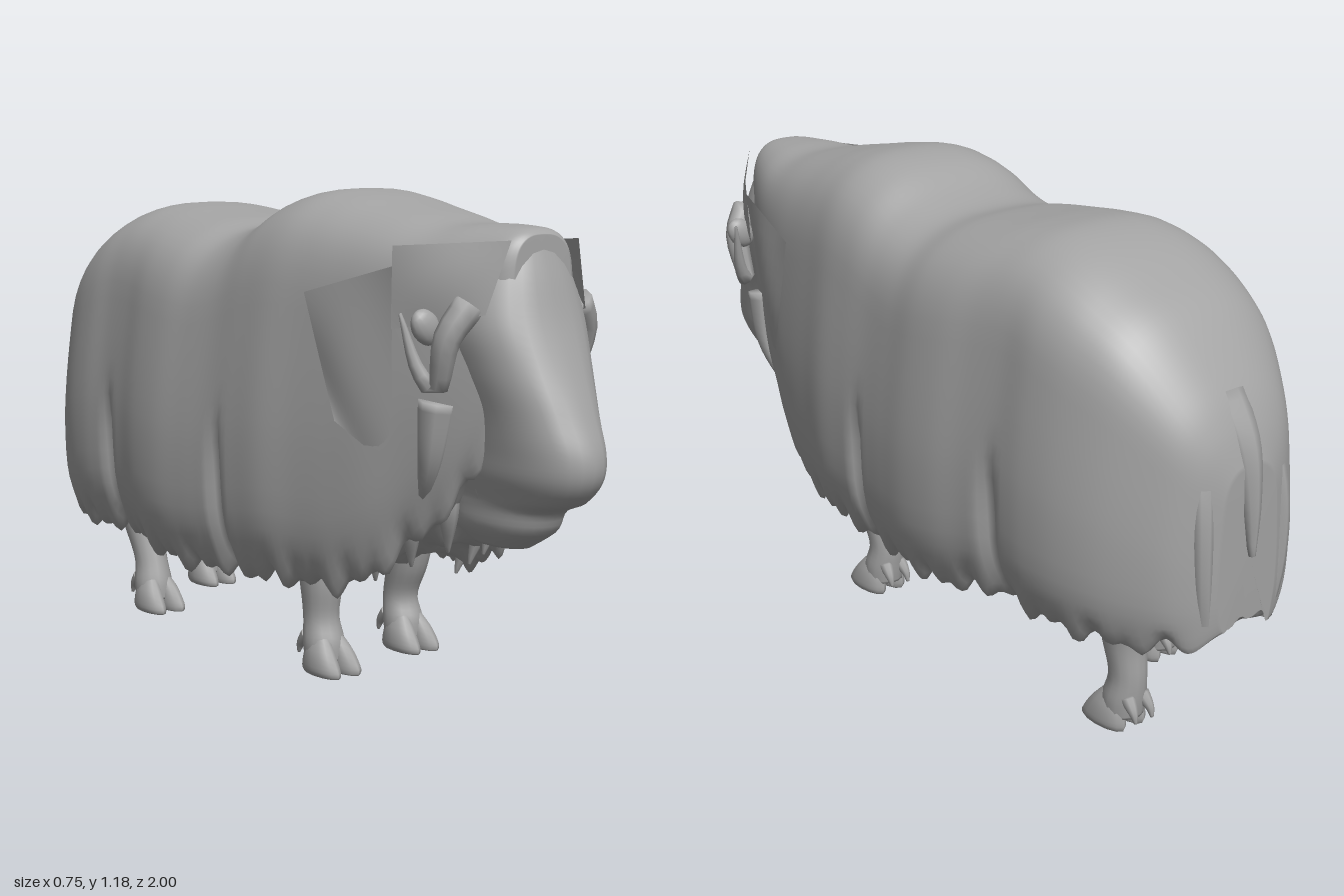
import * as THREE from 'three';

const coat = new THREE.MeshStandardMaterial({ color: 0xa3a3a3, side: THREE.DoubleSide });
coat.name = 'grey coat';

// Smoothly resample a table of numeric rows
function resample(rows, n) {
  const out = [];
  for (let i = 0; i <= n; i++) {
    const t = (i / n) * (rows.length - 1);
    const k = Math.min(Math.floor(t), rows.length - 2), f = t - k;
    const at = j => rows[Math.max(0, Math.min(rows.length - 1, j))];
    out.push(rows[k].map((b, c) => {
      const a = at(k - 1)[c], d = at(k + 1)[c], e = at(k + 2)[c];
      return b + 0.5 * f * (d - a + f * (2 * a - 5 * b + 4 * d - e + f * (3 * (b - d) + e - a)));
    }));
  }
  return out;
}

// Closed skin over rings of [x, y, z] points, capped at both ends
function loft(rings) {
  const n = rings[0].length, pos = rings.flat(2), idx = [];
  for (let i = 0; i < rings.length - 1; i++) {
    for (let j = 0; j < n; j++) {
      const a = i * n + j, b = i * n + (j + 1) % n;
      idx.push(a, b, a + n, b, b + n, a + n);
    }
  }
  [0, rings.length - 1].forEach((r, end) => {
    const c = pos.length / 3, o = r * n;
    for (let k = 0; k < 3; k++) pos.push(rings[r].reduce((s, p) => s + p[k], 0) / n);
    for (let j = 0; j < n; j++) {
      const a = o + j, b = o + (j + 1) % n;
      end ? idx.push(a, b, c) : idx.push(b, a, c);
    }
  });
  // Turn the faces outward using the signed volume
  const P = i => new THREE.Vector3().fromArray(pos, i * 3);
  let vol = 0;
  for (let i = 0; i < idx.length; i += 3) vol += P(idx[i]).dot(P(idx[i + 1]).cross(P(idx[i + 2])));
  if (vol < 0) idx.reverse();
  const g = new THREE.BufferGeometry();
  g.setAttribute('position', new THREE.Float32BufferAttribute(pos, 3));
  g.setIndex(idx);
  g.computeVertexNormals();
  return g;
}

// Horizontal oval rings from rows of [y, x, z, radiusX, radiusZ]
function column(rows, steps, sides = 14, power = 1) {
  return loft(resample(rows, steps).map(([y, x, z, rx, rz]) =>
    Array.from({ length: sides }, (_, j) => {
      const a = (j / sides) * Math.PI * 2, c = Math.cos(a), s = Math.sin(a);
      return [x + Math.sign(c) * Math.abs(c) ** power * rx, y, z + Math.sign(s) * Math.abs(s) ** power * rz];
    })));
}

// Tapering strand along points, for horns and hair
function strand(points, r0, r1) {
  const curve = new THREE.CatmullRomCurve3(points.map(p => new THREE.Vector3(...p)));
  const n = 14, frames = curve.computeFrenetFrames(n, false);
  return loft(Array.from({ length: n + 1 }, (_, i) => {
    const c = curve.getPointAt(i / n), r = r0 + (r1 - r0) * (i / n) ** 1.3;
    return Array.from({ length: 8 }, (_, j) => {
      const a = j * Math.PI / 4;
      return c.clone().addScaledVector(frames.normals[i], Math.cos(a) * r)
        .addScaledVector(frames.binormals[i], Math.sin(a) * r).toArray();
    });
  }));
}

// Bulged sheet between four corners
function sheet(a, b, c, d, bulge) {
  const g = new THREE.PlaneGeometry(1, 1, 8, 8), p = g.attributes.position;
  const [A, B, C, D] = [a, b, c, d].map(q => new THREE.Vector3(...q));
  for (let i = 0; i < p.count; i++) {
    const u = p.getX(i) + 0.5, v = 0.5 - p.getY(i);
    const q = A.clone().lerp(B, u).lerp(D.clone().lerp(C, u), v);
    q.x += Math.sign(A.x) * bulge * Math.sin(u * Math.PI) * Math.sin(v * Math.PI);
    p.setXYZ(i, q.x, q.y, q.z);
  }
  g.computeVertexNormals();
  return g;
}

// Shaggy body: one half section swept along z and mirrored
function bodyGeometry() {
  const half = new THREE.SplineCurve([
    [0, 0], [0.3, 0.006], [0.55, 0.035], [0.75, 0.095], [0.87, 0.19], [0.93, 0.33], [0.98, 0.5],
    [1, 0.65], [0.98, 0.82], [0.9, 0.93], [0.77, 1], [0.62, 0.96], [0.3, 0.94], [0, 0.95],
  ].map(p => new THREE.Vector2(...p))).getPoints(36);
  const section = [...half, ...half.slice(1, -1).reverse().map(p => new THREE.Vector2(-p.x, p.y))];
  // z, top, bottom, half width, inward taper
  const stations = resample([
    [0.83, 1.09, 0.8, 0.09, 0], [0.8, 1.105, 0.68, 0.13, 0.1], [0.7, 1.11, 0.5, 0.2, 0.2],
    [0.6, 1.11, 0.4, 0.25, 0.22], [0.5, 1.13, 0.31, 0.28, 0.15], [0.4, 1.15, 0.25, 0.3, 0.1],
    [0.3, 1.17, 0.24, 0.315, 0.05], [0.2, 1.18, 0.24, 0.33, 0], [0.1, 1.16, 0.23, 0.338, 0],
    [0, 1.11, 0.23, 0.345, 0], [-0.1, 1.085, 0.22, 0.36, 0], [-0.2, 1.1, 0.22, 0.373, 0],
    [-0.3, 1.113, 0.23, 0.37, 0], [-0.4, 1.126, 0.25, 0.352, 0], [-0.5, 1.13, 0.26, 0.342, 0],
    [-0.6, 1.105, 0.25, 0.345, 0], [-0.7, 1.055, 0.25, 0.33, 0], [-0.8, 0.985, 0.25, 0.29, 0],
    [-0.9, 0.86, 0.26, 0.22, 0], [-0.95, 0.77, 0.27, 0.16, 0], [-0.98, 0.68, 0.3, 0.09, 0],
  ], 120);
  return loft(stations.map(([z, top, bottom, w, taper]) => section.map(({ x, y }) => {
    // Seams behind the shoulder and before the thigh, and a ragged hem
    const low = THREE.MathUtils.smoothstep(y, 0.5, 0.75);
    const seam = Math.exp(-(((z - 0.03) / 0.018) ** 2)) + Math.exp(-(((z + 0.48) / 0.022) ** 2));
    const hem = THREE.MathUtils.smoothstep(y, 0.88, 1) * 0.013 * (Math.sin(z * 47) + Math.sin(z * 83 + x * 9));
    return [x * w * (1 - taper * y) * (1 - 0.08 * low * seam), top + (bottom - top) * y + hem, z];
  })));
}

export function createModel() {
  const model = new THREE.Group();
  model.name = 'shaggyOx';
  const add = (name, geometry, parent = model) => {
    const m = new THREE.Mesh(geometry, coat);
    m.name = name;
    parent.add(m);
    return m;
  };

  add('body', bodyGeometry());

  // Head: y, front z, back z, half width
  add('head', column([
    [1.085, 0.82, 0.6, 0.09], [1.0, 0.85, 0.55, 0.14], [0.9, 0.88, 0.55, 0.165], [0.8, 0.92, 0.55, 0.15],
    [0.7, 0.965, 0.55, 0.125], [0.62, 0.998, 0.55, 0.112], [0.56, 0.995, 0.55, 0.105], [0.51, 0.955, 0.55, 0.09],
    [0.48, 0.89, 0.55, 0.085], [0.43, 0.86, 0.57, 0.08], [0.385, 0.79, 0.63, 0.045],
  ].map(([y, f, b, w]) => [y, 0, (f + b) / 2, w, (f - b) / 2]), 44, 28, 0.85));

  // Legs: side, top z, foot z, top radius
  function leg(name, x, topZ, z, r) {
    const g = new THREE.Group();
    g.name = name;
    model.add(g);
    add('shank', column([
      [0.48, x, topZ, r * 1.2, r * 1.4], [0.32, x, topZ, r, r * 1.1], [0.22, x, (topZ + z) / 2, 0.052, 0.056],
      [0.14, x, z - 0.01, 0.045, 0.046], [0.08, x, z, 0.052, 0.052], [0.035, x, z + 0.005, 0.05, 0.05],
    ], 24), g);
    for (const s of [-1, 1]) {
      add('toe', column([
        [0.1, x + s * 0.02, z + 0.01, 0.015, 0.025], [0.06, x + s * 0.028, z + 0.022, 0.027, 0.05],
        [0.02, x + s * 0.031, z + 0.032, 0.03, 0.068], [0.004, x + s * 0.03, z + 0.034, 0.026, 0.066],
      ], 10, 12), g);
      add('dewclaw', strand([[x + s * 0.022, 0.09, z - 0.035], [x + s * 0.026, 0.06, z - 0.06],
        [x + s * 0.026, 0.038, z - 0.068]], 0.018, 0.004), g);
    }
  }
  leg('rightFrontLeg', -0.15, 0.21, 0.23, 0.06);
  leg('leftFrontLeg', 0.15, 0.2, 0.17, 0.06);
  leg('rightHindLeg', -0.15, -0.65, -0.565, 0.065);
  leg('leftHindLeg', 0.15, -0.75, -0.755, 0.065);

  for (const s of [-1, 1]) {
    const side = s > 0 ? 'left' : 'right';
    // Horn plate and the mane flap behind it
    add(side + 'HornPlate', sheet([s * 0.1, 1.08, 0.835], [s * 0.255, 1.065, 0.62],
      [s * 0.25, 0.88, 0.61], [s * 0.15, 0.92, 0.81], 0.012));
    add(side + 'ManeFlap', sheet([s * 0.255, 1.02, 0.62], [s * 0.305, 0.95, 0.36],
      [s * 0.285, 0.66, 0.45], [s * 0.215, 0.56, 0.57], 0.02));
    // Horn drops beside the cheek, then hooks upward
    add(side + 'Horn', strand([[s * 0.16, 0.94, 0.77], [s * 0.205, 0.87, 0.75], [s * 0.205, 0.75, 0.71],
      [s * 0.235, 0.79, 0.69], [s * 0.265, 0.92, 0.66]], 0.036, 0.004));
    const ear = add(side + 'Ear', new THREE.SphereGeometry(1, 14, 10));
    ear.scale.set(0.035, 0.045, 0.022);
    ear.position.set(s * 0.225, 0.89, 0.7);
    ear.rotation.z = s * -0.7;

    // Throat and chest locks
    for (let i = 0; i < 5; i++) {
      const z = 0.72 - i * 0.09, x = 0.05 + i * 0.035, y = 0.56 - i * 0.045;
      add('throatLock', strand([[s * x, y + 0.06, z - 0.03], [s * (x + 0.012), y - 0.04, z],
        [s * (x - 0.008), y - 0.16, z - 0.02]], 0.045, 0.004));
    }
    // Cheek locks hanging beside the muzzle
    add('cheekLock', strand([[s * 0.17, 0.72, 0.68], [s * 0.175, 0.58, 0.66], [s * 0.155, 0.45, 0.6]], 0.045, 0.005));
    // Long hair on the rump, either side of the tail
    add('rumpLock', strand([[s * 0.09, 0.77, -0.9], [s * 0.12, 0.6, -0.945], [s * 0.12, 0.42, -0.955],
      [s * 0.1, 0.28, -0.945]], 0.03, 0.02));
  }

  add('tail', strand([[0, 0.82, -0.88], [0, 0.72, -0.945], [0, 0.6, -0.975], [0, 0.47, -0.99]], 0.05, 0.008));
  return model;
}
